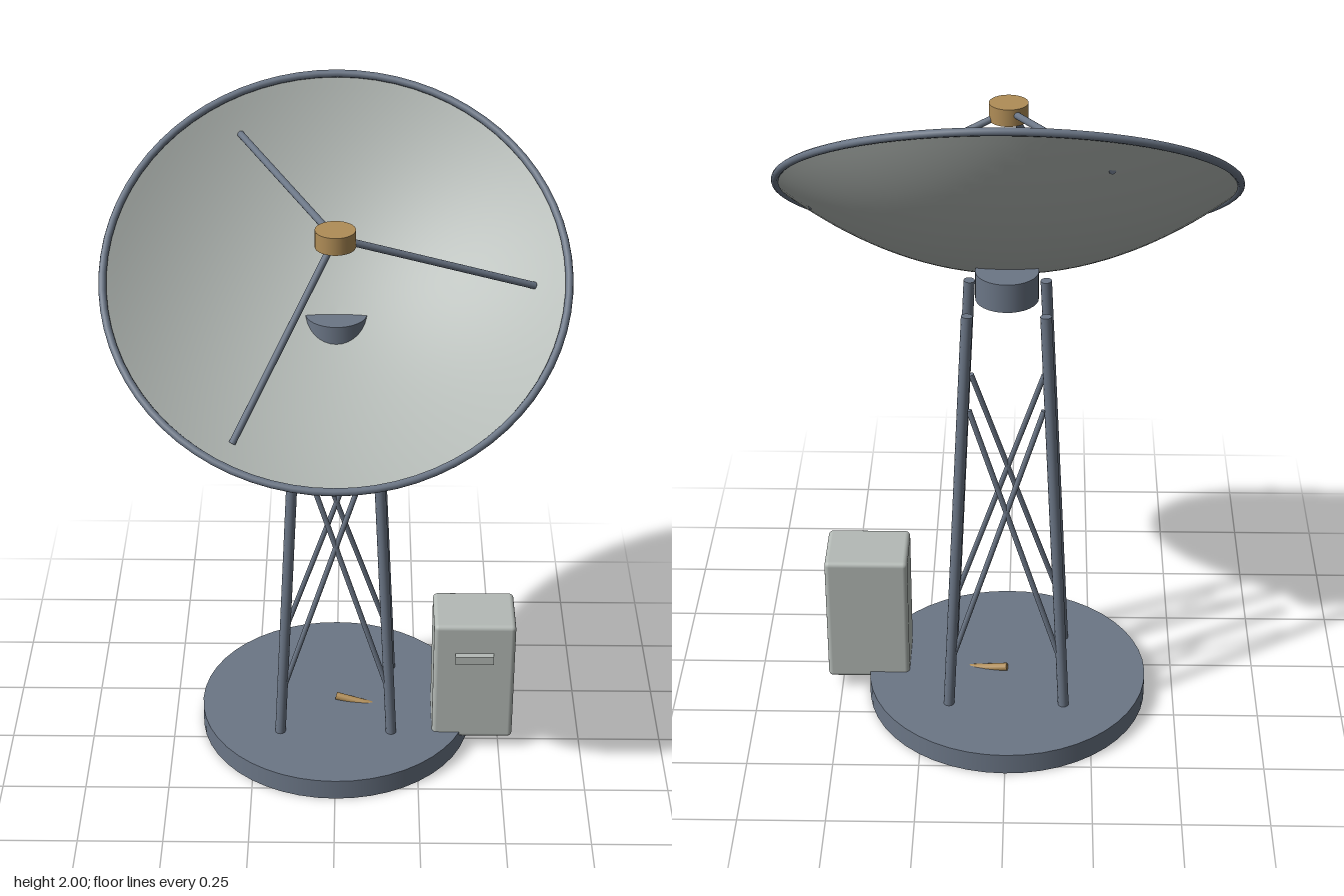
import * as THREE from 'three';
import { RoundedBoxGeometry } from 'three/addons/geometries/RoundedBoxGeometry.js';

const TOWER_Z = -0.117;
const TILT = THREE.MathUtils.degToRad(37);
const FOCAL = 0.445;
const DISH_R = 0.64;

const V = (x, y, z) => new THREE.Vector3(x, y, z);
const bowl = (r) => (r * r) / (4 * FOCAL);

function mesh(name, geometry, material, parent) {
  const m = new THREE.Mesh(geometry, material);
  m.name = name;
  parent.add(m);
  return m;
}

// Round bar between two points
function bar(name, a, b, radius, material, parent) {
  const dir = b.clone().sub(a);
  const m = mesh(name, new THREE.CylinderGeometry(radius, radius, dir.length(), 12), material, parent);
  m.position.copy(a).add(b).multiplyScalar(0.5);
  m.quaternion.setFromUnitVectors(V(0, 1, 0), dir.normalize());
  return m;
}

export function createModel() {
  const steel = new THREE.MeshStandardMaterial({ color: 0x6b7686 });
  steel.name = 'slate steel';
  const paint = new THREE.MeshStandardMaterial({ color: 0xb4bab6, side: THREE.DoubleSide });
  paint.name = 'pale grey paint';
  const brass = new THREE.MeshStandardMaterial({ color: 0xb08d57 });
  brass.name = 'brass';

  const model = new THREE.Group();
  model.name = 'satelliteDish';

  // Tower: round base, four leaning legs, crossed braces front and back, hub
  const tower = new THREE.Group();
  tower.name = 'tower';
  tower.position.z = TOWER_Z;
  model.add(tower);
  mesh('base', new THREE.CylinderGeometry(0.415, 0.415, 0.065, 48), steel, tower).position.y = 0.0325;
  for (const sz of [1, -1]) {
    for (const sx of [1, -1]) {
      bar('leg', V(0.17 * sx, 0.05, 0.17 * sz), V(0.108 * sx, 1.33, 0.108 * sz), 0.016, steel, tower);
      bar('brace', V(0.152 * sx, 0.24, 0.162 * sz), V(-0.105 * sx, 1.03, 0.103 * sz), 0.008, steel, tower);
    }
  }
  mesh('hub', new THREE.CylinderGeometry(0.088, 0.088, 0.085, 32), steel, tower).position.y = 1.3725;

  // Tilted parabolic dish with rim
  const dish = new THREE.Group();
  dish.name = 'dish';
  dish.position.set(0, 1.42, TOWER_Z);
  dish.rotation.x = TILT;
  model.add(dish);
  const profile = [];
  for (let i = 0; i <= 20; i++) {
    const r = (DISH_R * i) / 20;
    profile.push(new THREE.Vector2(r, bowl(r)));
  }
  mesh('reflector', new THREE.LatheGeometry(profile, 64), paint, dish);
  const rim = mesh('rim', new THREE.TorusGeometry(DISH_R, 0.011, 10, 72), steel, dish);
  rim.rotation.x = Math.PI / 2;
  rim.position.y = bowl(DISH_R);

  // Three struts meeting at the focus
  for (let i = 0; i < 3; i++) {
    const a = (i * Math.PI * 2) / 3;
    const r = 0.55;
    bar('strut', V(r * Math.cos(a), bowl(r), r * Math.sin(a)), V(0, FOCAL, 0), 0.01, steel, dish);
  }

  // Upright feed at the focus
  const feed = mesh('feed', new THREE.CylinderGeometry(0.055, 0.055, 0.05, 32), brass, model);
  feed.position.set(0, 1.42 + FOCAL * Math.cos(TILT), TOWER_Z + FOCAL * Math.sin(TILT));

  // Equipment cabinet with handle
  const cabinet = new THREE.Group();
  cabinet.name = 'cabinet';
  cabinet.position.set(0.417, 0.25, -0.042);
  model.add(cabinet);
  mesh('cabinetBody', new RoundedBoxGeometry(0.245, 0.41, 0.19, 3, 0.014), paint, cabinet);
  mesh('handle', new THREE.BoxGeometry(0.115, 0.028, 0.022), paint, cabinet).position.set(0, 0.095, 0.104);

  // Cable dipping into the base toward the cabinet
  bar('cable', V(0, 0.074, TOWER_Z), V(0.24, 0.03, -0.074), 0.012, brass, model);

  return model;
}
